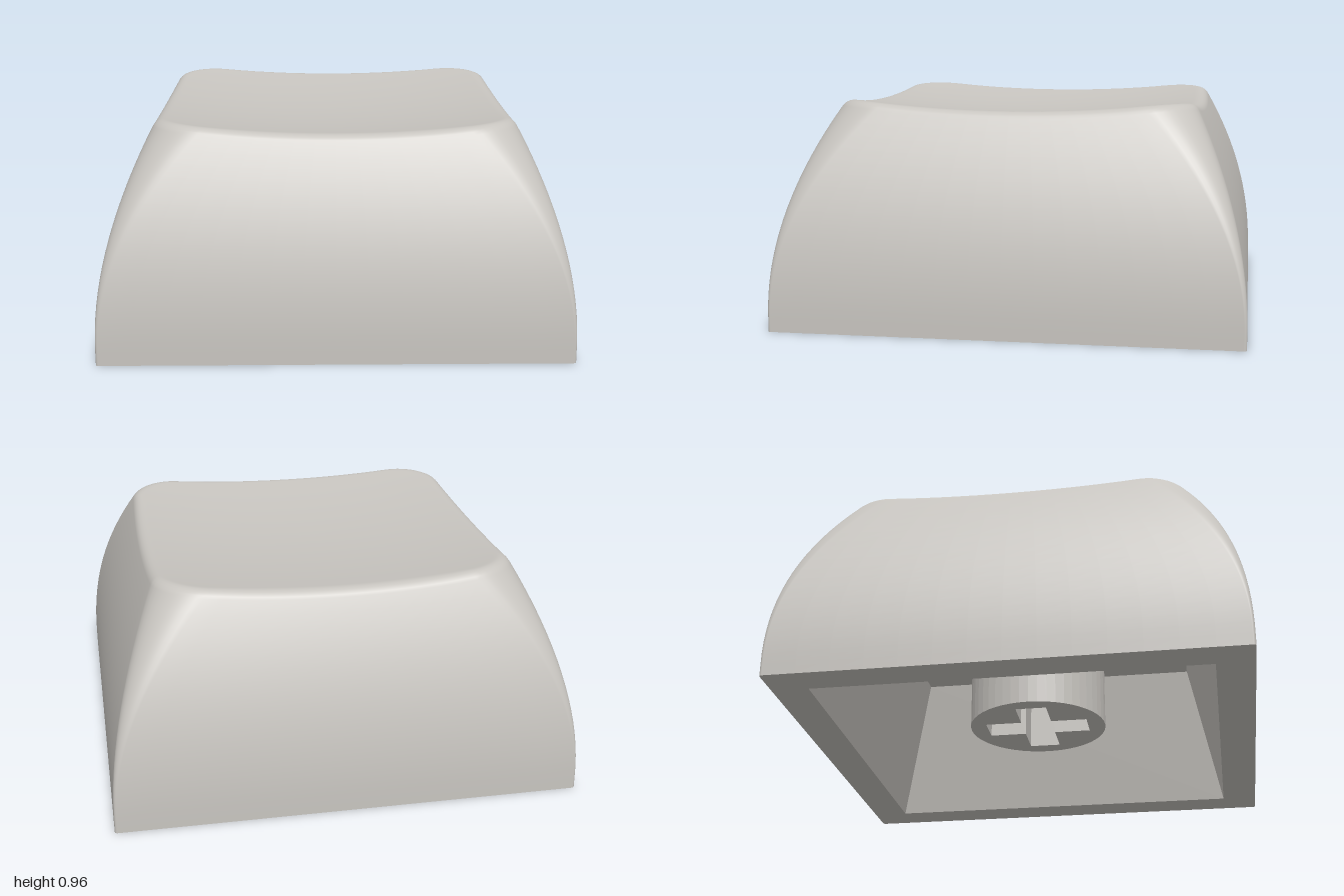
import * as THREE from 'three';

const ARC = 10, EDGE = 14;
const CEILING = 0.66, STEM_BASE = 0.11;

// Spherical dish of the top face
const dish = (x, z) => 0.877 + 0.09 * (x * x + z * z);
// Half width and corner radius of the curved walls at height y
const halfWidth = y => 1 - 0.3 * Math.max(0, y - 0.07) ** 2;
const cornerRadius = h => 0.012 + 0.86 * (1 - h);

// Point on a rounded square: corner q, step i along its arc and then the following edge
function perimeter(q, i, h, r) {
  const corner = (n, a) => {
    const m = Math.PI / 4 + n * Math.PI / 2;
    return new THREE.Vector2(
      Math.sign(Math.cos(m)) * (h - r) + r * Math.cos(a),
      Math.sign(Math.sin(m)) * (h - r) + r * Math.sin(a));
  };
  const start = q * Math.PI / 2;
  if (i <= ARC) return corner(q, start + (i / ARC) * Math.PI / 2);
  const end = start + Math.PI / 2;
  return corner(q, end).lerp(corner(q + 1, end), (i - ARC) / EDGE);
}

// One meridian of the cap: up the wall, over the rounded rim, in to the centre
function meridian(q, i) {
  const at = (y, h = halfWidth(y), r = cornerRadius(h)) => {
    const p = perimeter(q, i, h, r);
    return new THREE.Vector3(p.x, y, -p.y);
  };
  const guess = at(0, 0.775, 0.2);
  const rimY = dish(guess.x, guess.z);
  const points = [];
  const wallTop = rimY - 0.035;
  for (let k = 0; k <= 18; k++) points.push(at(wallTop * k / 18));
  const inner = at(0, halfWidth(rimY) - 0.05, 0.16);
  inner.y = dish(inner.x, inner.z);
  const rim = new THREE.QuadraticBezierCurve3(at(wallTop), at(rimY), inner);
  for (let k = 1; k <= 6; k++) points.push(rim.getPoint(k / 6));
  for (let k = 1; k <= 12; k++) {
    const s = 1 - k / 12, x = inner.x * s, z = inner.z * s;
    points.push(new THREE.Vector3(x, dish(x, z), z));
  }
  return points;
}

function capGeometry() {
  const columns = [];
  for (let q = 0; q < 4; q++)
    for (let i = 0; i < ARC + EDGE; i++) columns.push(meridian(q, i));
  const n = columns.length, rows = columns[0].length;
  const index = [];
  for (let c = 0; c < n; c++) {
    for (let k = 0; k < rows - 1; k++) {
      const a = c * rows + k, b = ((c + 1) % n) * rows + k;
      index.push(a, b, b + 1);
      if (k < rows - 2) index.push(a, b + 1, a + 1);
    }
  }
  const geometry = new THREE.BufferGeometry().setFromPoints(columns.flat());
  geometry.setIndex(index);
  geometry.computeVertexNormals();
  return geometry;
}

// Flat downward rim between the outer wall and the cavity
function rimGeometry() {
  const points = [];
  for (let q = 0; q < 4; q++)
    for (let i = 0; i < ARC + EDGE; i++) points.push(perimeter(q, i, 1, 0.012));
  const shape = new THREE.Shape(points);
  const w = 0.84;
  shape.holes.push(new THREE.Path([[-w, -w], [-w, w], [w, w], [w, -w]].map(p => new THREE.Vector2(...p))));
  return new THREE.ShapeGeometry(shape).rotateX(Math.PI / 2);
}

// Four sloping walls facing inward
function cavityGeometry() {
  const d = Math.SQRT2;
  const g = new THREE.CylinderGeometry(0.69 * d, 0.84 * d, CEILING, 4, 1, true)
    .rotateY(Math.PI / 4).translate(0, CEILING / 2, 0);
  g.setIndex(Array.from(g.index.array).reverse());
  const flat = g.toNonIndexed();
  flat.computeVertexNormals();
  return flat;
}

// Round post with a cross-shaped socket
function stemGeometry() {
  const shape = new THREE.Shape().absarc(0, 0, 0.315, 0, Math.PI * 2, false);
  const l = 0.235, w = 0.07;
  const cross = [];
  for (let q = 0; q < 4; q++)
    for (const [x, y] of [[l, -w], [l, w], [w, w]])
      cross.push(new THREE.Vector2(x, y).rotateAround(new THREE.Vector2(), q * Math.PI / 2));
  shape.holes.push(new THREE.Path(cross.reverse()));
  return new THREE.ExtrudeGeometry(shape, { depth: CEILING - STEM_BASE, bevelEnabled: false, curveSegments: 24 })
    .rotateX(Math.PI / 2).translate(0, CEILING, 0);
}

export function createModel() {
  const group = new THREE.Group();
  group.name = 'keycap';
  const plastic = new THREE.MeshStandardMaterial({ color: 0xc8c5c0 });
  plastic.name = 'warm grey plastic';
  const add = (name, geometry) => {
    const mesh = new THREE.Mesh(geometry, plastic);
    mesh.name = name;
    group.add(mesh);
  };
  add('outerShell', capGeometry());
  add('bottomRim', rimGeometry());
  add('cavityWalls', cavityGeometry());
  add('cavityCeiling', new THREE.PlaneGeometry(1.38, 1.38).rotateX(Math.PI / 2).translate(0, CEILING, 0));
  add('stem', stemGeometry());
  return group;
}
